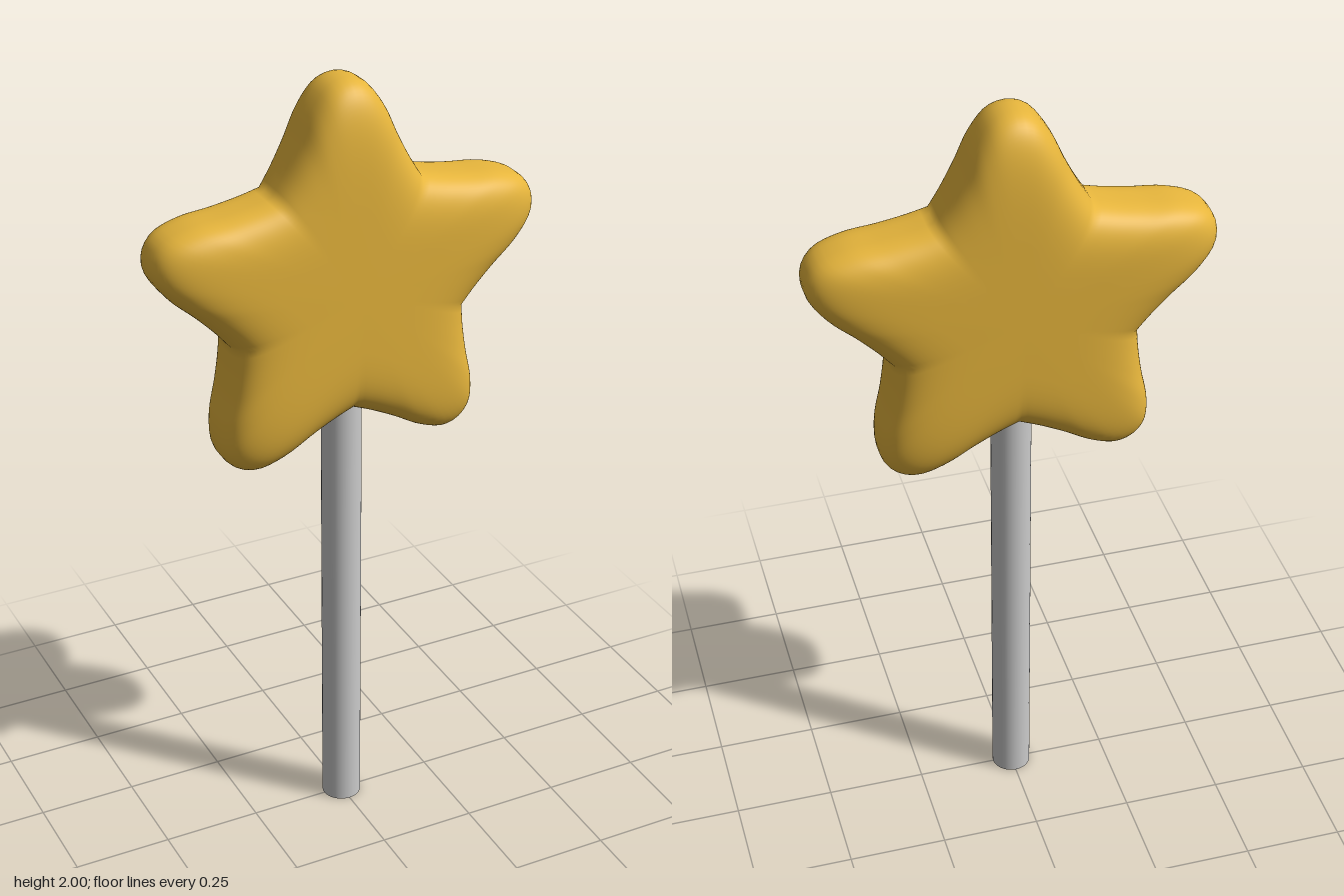
import * as THREE from 'three';

const CENTRE_Y = 1.487;
const HALF_DEPTH = 0.112;

// Rounded five-armed outline, counter-clockwise, with a crease at each notch
function starOutline(stepsPerArm) {
  const half = [[0.186, 0.256], [0.156, 0.305], [0.122, 0.37], [0.085, 0.449], [0.043, 0.5]];
  const arm = [...half, [0, 0.513], ...half.map(([x, y]) => [-x, y]).reverse()];
  const curve = new THREE.CatmullRomCurve3(arm.map(([x, y]) => new THREE.Vector3(x, y, 0)));
  const points = [];
  for (let k = 0; k < 5; k++) {
    for (const p of curve.getSpacedPoints(stepsPerArm).slice(0, -1)) {
      points.push(p.applyAxisAngle(new THREE.Vector3(0, 0, 1), (k * 2 * Math.PI) / 5));
    }
  }
  return points;
}

// Pillow-shaped star: the outline shrinks along a superellipse from edge to face
function starGeometry() {
  const outline = starOutline(36);
  const n = outline.length;
  const rings = 40;
  const positions = [0, 0, -HALF_DEPTH];
  const index = [];
  for (let i = 1; i < rings; i++) {
    const t = -Math.PI / 2 + (Math.PI * i) / rings;
    const scale = Math.pow(Math.cos(t), 1 / 3);
    const z = Math.sign(t) * Math.pow(Math.abs(Math.sin(t)), 2 / 3) * HALF_DEPTH;
    for (const p of outline) positions.push(p.x * scale, p.y * scale, z);
  }
  positions.push(0, 0, HALF_DEPTH);
  const last = positions.length / 3 - 1;
  const id = (ring, j) => 1 + ring * n + (j % n);
  for (let j = 0; j < n; j++) {
    index.push(0, id(0, j + 1), id(0, j));
    for (let i = 0; i < rings - 2; i++) {
      const a = id(i, j), b = id(i, j + 1), c = id(i + 1, j + 1), d = id(i + 1, j);
      index.push(a, b, c, a, c, d);
    }
    index.push(last, id(rings - 2, j), id(rings - 2, j + 1));
  }
  const geometry = new THREE.BufferGeometry();
  geometry.setAttribute('position', new THREE.Float32BufferAttribute(positions, 3));
  geometry.setIndex(index);
  geometry.computeVertexNormals();
  return geometry;
}

export function createModel() {
  const group = new THREE.Group();
  group.name = 'starWand';

  const star = new THREE.Mesh(starGeometry(), new THREE.MeshStandardMaterial({ color: 0xe6b53c }));
  star.name = 'star';
  star.position.y = CENTRE_Y;
  group.add(star);

  // Stick, running a little way into the star
  const length = 1.3;
  const stick = new THREE.Mesh(
    new THREE.CylinderGeometry(0.05, 0.05, length, 32),
    new THREE.MeshStandardMaterial({ color: 0xcccccc })
  );
  stick.name = 'stick';
  stick.position.y = length / 2;
  group.add(stick);

  return group;
}
